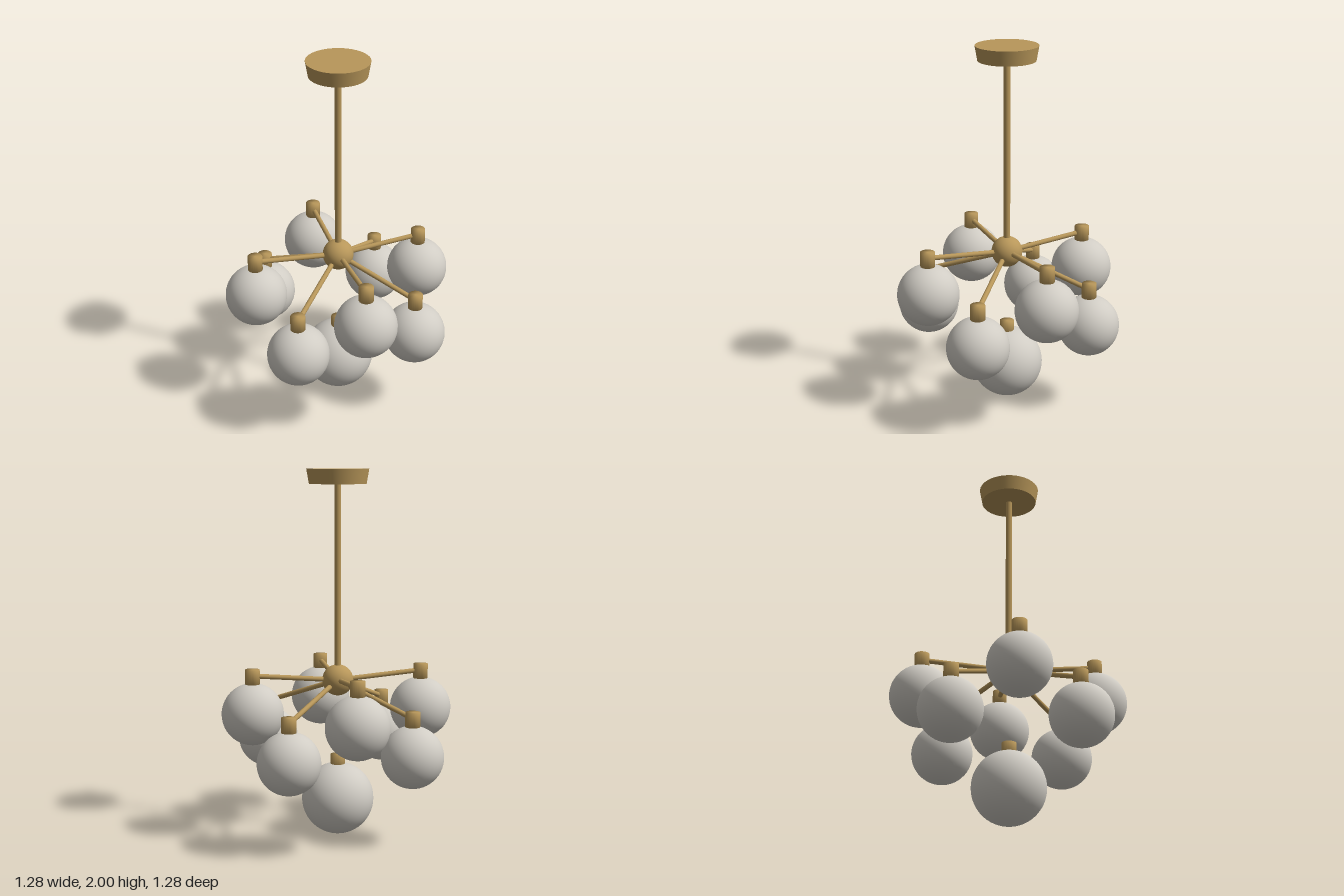
import * as THREE from 'three';

export function createModel() {
  const model = new THREE.Group();
  const brass = new THREE.MeshStandardMaterial({ color: 0xb8975a });
  brass.name = 'brass';
  const glass = new THREE.MeshStandardMaterial({ color: 0xd0ccc4 });
  glass.name = 'frosted glass';

  const HUB_Y = 0.86;

  function add(parent, name, geometry, material, x = 0, y = 0, z = 0) {
    const mesh = new THREE.Mesh(geometry, material);
    mesh.name = name;
    mesh.position.set(x, y, z);
    parent.add(mesh);
    return mesh;
  }

  // Straight rod between two points
  function rod(parent, name, from, to, radius) {
    const path = new THREE.LineCurve3(from, to);
    add(parent, name, new THREE.TubeGeometry(path, 1, radius, 16), brass);
  }

  // Ceiling canopy, stem and hub
  add(model, 'ceilingCanopy', new THREE.CylinderGeometry(0.168, 0.154, 0.08, 48), brass, 0, 1.96, 0);
  add(model, 'stem', new THREE.CylinderGeometry(0.018, 0.018, 1.07, 24), brass, 0, 1.395, 0);
  add(model, 'hub', new THREE.SphereGeometry(0.085, 32, 24), brass, 0, HUB_Y, 0);

  // Softly shaded closed lamp holder
  const holder = new THREE.LatheGeometry([
    new THREE.Vector2(0, -0.04),
    new THREE.Vector2(0.04, -0.04),
    new THREE.Vector2(0.04, 0.04),
    new THREE.Vector2(0, 0.04),
  ], 24);
  const globe = new THREE.SphereGeometry(0.168, 40, 28);

  // Eight arms, alternating low (on the axes) and high (on the diagonals)
  const hubCentre = new THREE.Vector3(0, HUB_Y, 0);
  for (let i = 0; i < 8; i++) {
    const angle = (i * Math.PI) / 4;
    const high = i % 2 === 1;
    const x = 0.47 * Math.sin(angle);
    const z = 0.47 * Math.cos(angle);
    const globeY = high ? 0.69 : 0.488;
    const holderY = globeY + 0.204;

    const lamp = new THREE.Group();
    lamp.name = high ? 'highLamp' : 'lowLamp';
    rod(lamp, 'arm', hubCentre, new THREE.Vector3(x, holderY + 0.005, z), 0.0135);
    add(lamp, 'lampHolder', holder, brass, x, holderY, z);
    add(lamp, 'globe', globe, glass, x, globeY, z);
    model.add(lamp);
  }

  // Larger globe at the bottom centre
  add(model, 'centreLampHolder', holder, brass, 0, 0.405, 0);
  add(model, 'centreGlobe', new THREE.SphereGeometry(0.198, 40, 28), glass, 0, 0.198, 0);

  return model;
}
